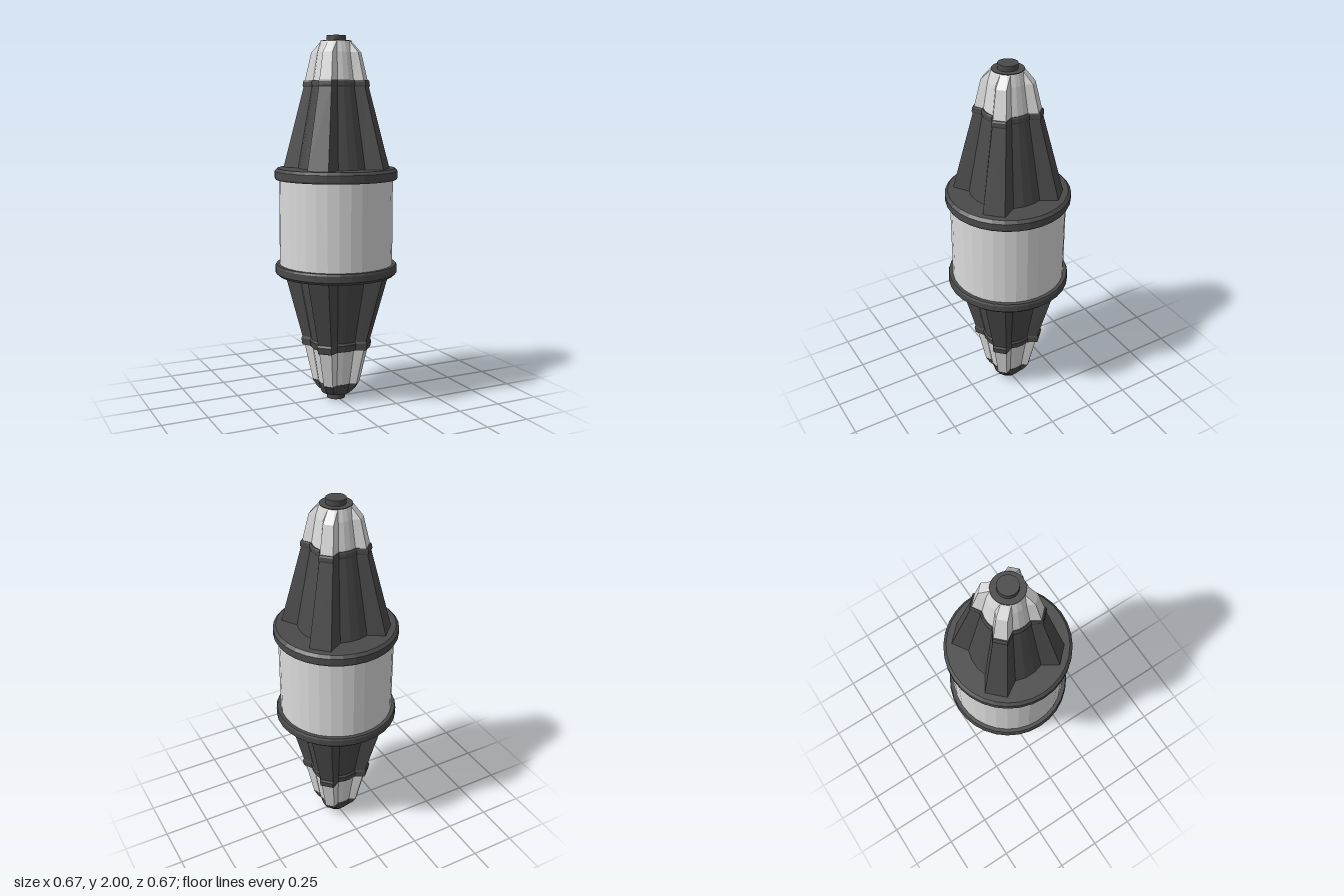
import * as THREE from 'three';

// Angles (degrees) of one quadrant: a four-point hollow, then the two fin corners
const QUADRANT = [[-22.5, 0], [-7.5, 0], [7.5, 0], [22.5, 0], [33.5, 1], [56.5, 1]];

// Stack of four-finned sections, each [y, hollow radius, fin corner radius], listed upwards
function finnedGeometry(sections) {
  const positions = [], index = [];
  const n = QUADRANT.length * 4;
  for (const [y, hollow, fin] of sections) {
    for (let q = 0; q < 4; q++) {
      for (const [deg, isFin] of QUADRANT) {
        const a = THREE.MathUtils.degToRad(deg + q * 90);
        const r = isFin ? fin : hollow;
        positions.push(r * Math.sin(a), y, r * Math.cos(a));
      }
    }
  }
  const last = sections.length - 1;
  for (let s = 0; s < last; s++) {
    for (let i = 0; i < n; i++) {
      const a = s * n + i, b = s * n + (i + 1) % n;
      index.push(a, b, b + n, a, b + n, a + n);
    }
  }
  // End caps
  const bottom = positions.length / 3, top = bottom + 1;
  positions.push(0, sections[0][0], 0, 0, sections[last][0], 0);
  for (let i = 0; i < n; i++) {
    const j = (i + 1) % n;
    index.push(bottom, j, i, top, last * n + i, last * n + j);
  }
  const indexed = new THREE.BufferGeometry();
  indexed.setAttribute('position', new THREE.Float32BufferAttribute(positions, 3));
  indexed.setIndex(index);
  const geometry = indexed.toNonIndexed();
  geometry.computeVertexNormals();
  return geometry;
}

export function createModel() {
  const model = new THREE.Group();
  model.name = 'capsule';
  const dark = new THREE.MeshStandardMaterial({ color: 0x4a4a4a, flatShading: true });
  dark.name = 'dark grey';
  const light = new THREE.MeshStandardMaterial({ color: 0xdadada, flatShading: true });
  light.name = 'light grey';

  const add = (name, geometry, material) => {
    const mesh = new THREE.Mesh(geometry, material);
    mesh.name = name;
    model.add(mesh);
  };
  const finned = (name, material, sections) => add(name, finnedGeometry(sections), material);
  // Round part from a [radius, y] profile listed upwards
  const turned = (name, material, profile, sides = 32) =>
    add(name, new THREE.LatheGeometry(profile.map(([r, y]) => new THREE.Vector2(r, y)), sides), material);

  // Central drum
  turned('drum', light, [[0, 0.75], [0.31, 0.75], [0.31, 1.25], [0, 1.25]]);

  // Bevelled flanges either side of the drum
  turned('upperFlange', dark, [[0, 1.235], [0.33, 1.235], [0.335, 1.245], [0.335, 1.28], [0.32, 1.295], [0, 1.295]]);
  turned('lowerFlange', dark, [[0, 0.71], [0.32, 0.71], [0.335, 0.725], [0.335, 0.76], [0.33, 0.77], [0, 0.77]]);

  // Upper half: finned cone, collar, pale nose, cap and knob
  finned('upperCone', dark, [[1.29, 0.207, 0.292], [1.74, 0.128, 0.174]]);
  finned('upperCollar', dark, [[1.73, 0.131, 0.179], [1.738, 0.134, 0.182], [1.757, 0.132, 0.18], [1.765, 0.127, 0.175]]);
  finned('upperNose', light, [[1.75, 0.125, 0.173], [1.91, 0.1, 0.135], [1.968, 0.083, 0.083]]);
  turned('upperCap', dark, [[0, 1.96], [0.083, 1.968], [0.083, 1.972], [0, 1.972]]);
  turned('upperKnob', dark, [[0, 1.965], [0.052, 1.965], [0.052, 2], [0, 2]]);

  // Lower half
  finned('lowerCone', dark, [[0.33, 0.137, 0.187], [0.715, 0.207, 0.292]]);
  finned('lowerCollar', dark, [[0.295, 0.138, 0.188], [0.3, 0.142, 0.192], [0.333, 0.147, 0.198], [0.345, 0.14, 0.191]]);
  finned('lowerNose', light, [[0.095, 0.099, 0.132], [0.305, 0.132, 0.18]]);
  finned('lowerTip', dark, [[0.035, 0.083, 0.083], [0.06, 0.09, 0.111], [0.097, 0.101, 0.134]]);
  turned('lowerKnob', dark, [[0, 0], [0.052, 0], [0.052, 0.04], [0, 0.04]]);
  return model;
}
